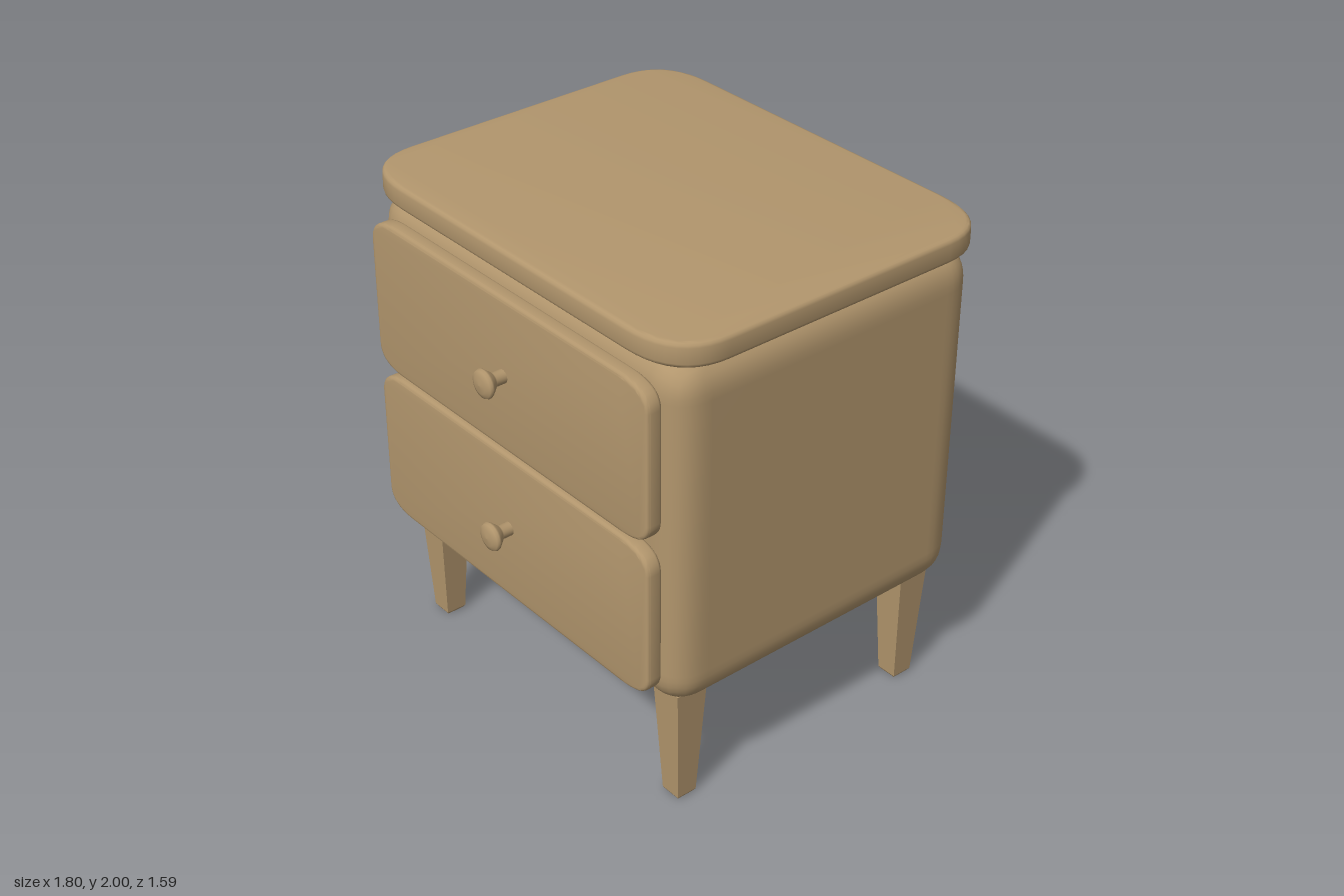
import * as THREE from 'three';
import { mergeVertices, toCreasedNormals } from 'three/addons/utils/BufferGeometryUtils.js';

// Box with soft, full corners: a flat core plus superellipsoid edges
function softBox(w, h, d, r, p) {
  const geo = new THREE.BoxGeometry(2, 2, 2, 10, 10, 10);
  geo.deleteAttribute('uv');
  geo.deleteAttribute('normal');
  const pos = geo.attributes.position;
  const half = [w / 2, h / 2, d / 2];
  for (let i = 0; i < pos.count; i++) {
    const u = [pos.getX(i), pos.getY(i), pos.getZ(i)];
    const dir = u.map(c => Math.sign(c) * Math.tan(Math.max(0, (Math.abs(c) - 0.2) / 0.8) * Math.PI / 4));
    const len = Math.pow(dir.reduce((s, c) => s + Math.pow(Math.abs(c), p), 0), 1 / p);
    const v = u.map((c, k) => Math.sign(c) * Math.min(Math.abs(c) / 0.2, 1) * (half[k] - r) + r * dir[k] / len);
    pos.setXYZ(i, v[0], v[1], v[2]);
  }
  const merged = mergeVertices(geo, 1e-4);
  merged.computeVertexNormals();
  return merged;
}

// Slab in the xy plane, rising along z from 0, with curved corners and eased edges
function slab(w, h, depth, rx, ry, bevel) {
  const x = w / 2 - bevel, y = h / 2 - bevel;
  const s = new THREE.Shape();
  s.moveTo(-x + rx, -y);
  s.lineTo(x - rx, -y);
  s.quadraticCurveTo(x, -y, x, -y + ry);
  s.lineTo(x, y - ry);
  s.quadraticCurveTo(x, y, x - rx, y);
  s.lineTo(-x + rx, y);
  s.quadraticCurveTo(-x, y, -x, y - ry);
  s.lineTo(-x, -y + ry);
  s.quadraticCurveTo(-x, -y, -x + rx, -y);
  const geo = new THREE.ExtrudeGeometry(s, {
    depth: depth - 2 * bevel, bevelEnabled: true, bevelSize: bevel,
    bevelThickness: bevel, bevelSegments: 3, curveSegments: 10,
  });
  geo.translate(0, 0, bevel);
  return toCreasedNormals(geo, 0.7);
}

export function createModel() {
  const group = new THREE.Group();
  const wood = new THREE.MeshStandardMaterial({ color: 0xb2966d });
  wood.name = 'wood';

  const add = (name, geo, x, y, z) => {
    const mesh = new THREE.Mesh(geo, wood);
    mesh.name = name;
    mesh.position.set(x, y, z);
    group.add(mesh);
    return mesh;
  };

  // Cabinet and overhanging top
  add('cabinet', softBox(1.73, 1.415, 1.385, 0.15, 2.6), 0, 1.1975, -0.0675);
  add('tabletop', slab(1.8, 1.455, 0.095, 0.25, 0.21, 0.018), 0, 1.905, -0.07).rotation.x = -Math.PI / 2;

  // Two drawers, each with a turned knob
  const drawerGeo = slab(1.59, 0.63, 0.065, 0.14, 0.08, 0.014);
  const knobProfile = [
    [0.027, 0], [0.027, 0.05], [0.036, 0.06], [0.054, 0.081],
    [0.057, 0.09], [0.052, 0.1], [0.032, 0.108], [0, 0.111],
  ].map(([r, y]) => new THREE.Vector2(r, y));
  const knobGeo = new THREE.LatheGeometry(knobProfile, 24);
  [['lower', 0.875], ['upper', 1.525]].forEach(([level, y]) => {
    add(level + 'Drawer', drawerGeo, 0, y, 0.627);
    add(level + 'Knob', knobGeo, 0, y, 0.684).rotation.x = Math.PI / 2;
  });

  // Four square tapered legs with a small chamfer at the foot
  const legGeo = new THREE.CylinderGeometry(0.068 * Math.SQRT2, 0.043 * Math.SQRT2, 0.5, 4).rotateY(Math.PI / 4);
  const footGeo = new THREE.CylinderGeometry(0.043 * Math.SQRT2, 0.037 * Math.SQRT2, 0.01, 4).rotateY(Math.PI / 4);
  const flatLeg = toCreasedNormals(legGeo, 0.3);
  const flatFoot = toCreasedNormals(footGeo, 0.3);
  for (const [side, x] of [['Left', 0.727], ['Right', -0.727]]) {
    for (const [end, z] of [['front', 0.488], ['back', -0.622]]) {
      add(end + side + 'Leg', flatLeg, x, 0.26, z);
      add(end + side + 'Foot', flatFoot, x, 0.005, z);
    }
  }
  return group;
}
